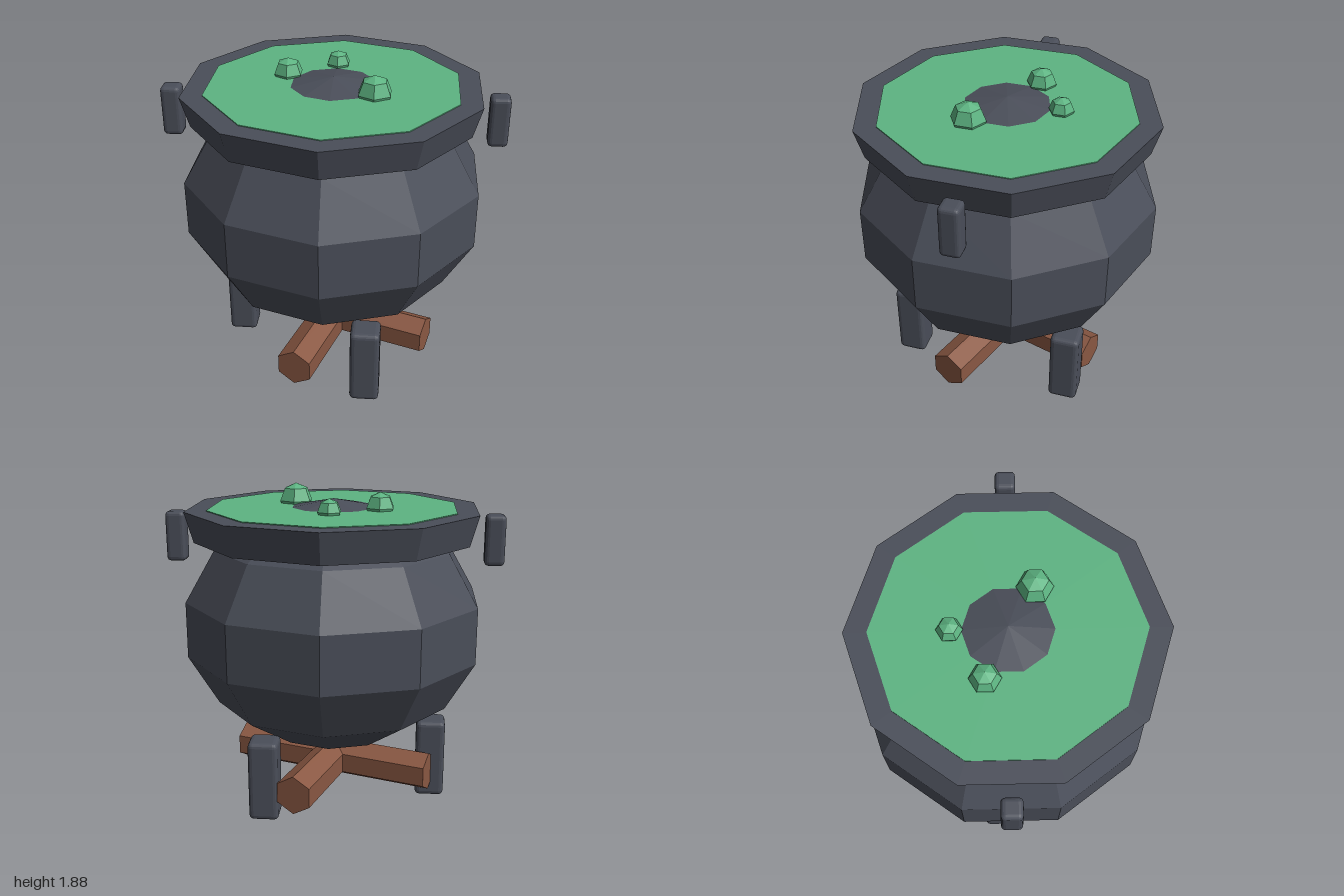
import * as THREE from 'three';
import { RoundedBoxGeometry } from 'three/addons/geometries/RoundedBoxGeometry.js';

const iron = new THREE.MeshStandardMaterial({ color: 0x4a4e59 });
iron.name = 'iron';
const brew = new THREE.MeshStandardMaterial({ color: 0x5db482 });
brew.name = 'brew';
const wood = new THREE.MeshStandardMaterial({ color: 0x8a5843 });
wood.name = 'wood';

// Gives every face its own normal for the faceted look
function faceted(geometry) {
  const flat = geometry.index ? geometry.toNonIndexed() : geometry;
  flat.computeVertexNormals();
  return flat;
}

export function createModel() {
  const model = new THREE.Group();
  model.name = 'cauldron';

  function add(name, geometry, material, x, y, z) {
    const mesh = new THREE.Mesh(faceted(geometry), material);
    mesh.name = name;
    mesh.position.set(x, y, z);
    model.add(mesh);
    return mesh;
  }

  // Squashed ten-sided pot, its crown rising through the brew
  const pot = new THREE.SphereGeometry(0.908, 10, 7);
  pot.rotateY(Math.PI / 2).scale(1, 0.82, 1);
  add('pot', pot, iron, 0, 1.065, 0);

  // Flared rim and the brew surface
  add('rim', new THREE.CylinderGeometry(0.873, 0.822, 0.178, 10), iron, 0, 1.669, 0);
  add('brewSurface', new THREE.CylinderGeometry(0.745, 0.745, 0.008, 10), brew, 0, 1.759, 0);

  // Bubbles: x, z, radius
  for (const [x, z, r] of [[0.24, 0.147, 0.103], [-0.275, -0.125, 0.088], [0, -0.31, 0.073]]) {
    add('bubble', new THREE.SphereGeometry(r, 6, 4).rotateY(Math.PI / 2), brew, x, 1.777, z);
  }

  // Upright handles on both sides
  for (const side of [-1, 1]) {
    add(side > 0 ? 'leftHandle' : 'rightHandle',
      new RoundedBoxGeometry(0.116, 0.296, 0.116, 2, 0.025), iron, side * 0.942, 1.578, 0);
  }

  // Three square legs, evenly spaced
  for (let i = 0; i < 3; i++) {
    const a = 1.17 + (i * Math.PI * 2) / 3;
    add('leg', new RoundedBoxGeometry(0.174, 0.48, 0.174, 2, 0.028), iron,
      Math.cos(a) * 0.606, 0.243, Math.sin(a) * 0.606);
  }

  // Two crossed six-sided logs, edges up
  for (const angle of [0.33, 0.3 + Math.PI / 2]) {
    const log = new THREE.CylinderGeometry(0.117, 0.117, 1.254, 6);
    log.rotateY(Math.PI / 2).rotateZ(-Math.PI / 2);
    add('log', log, wood, 0, 0.186, 0).rotation.y = -angle;
  }

  return model;
}
